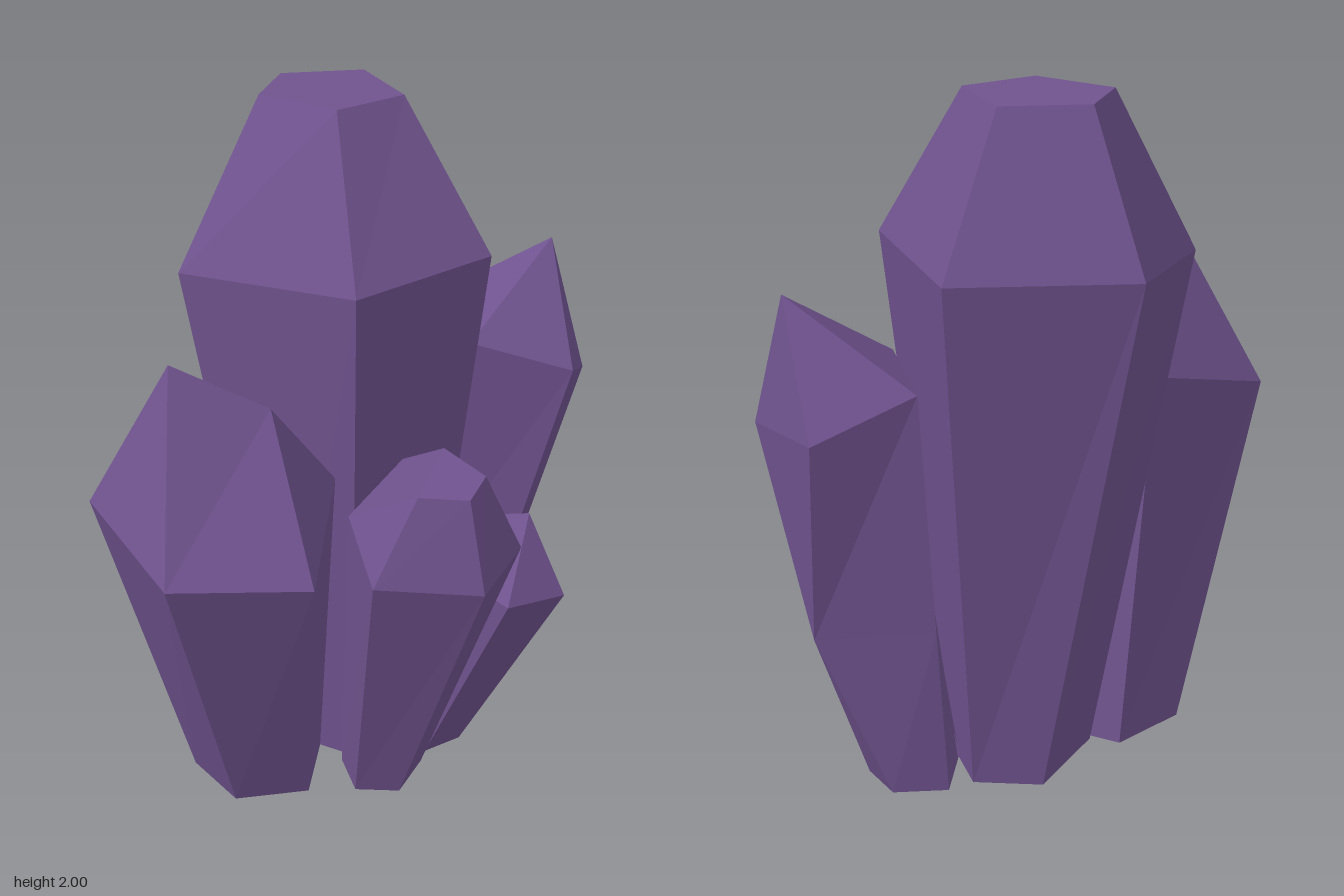
import * as THREE from 'three';

const purple = new THREE.MeshStandardMaterial({ color: 0x70538f, flatShading: true });
purple.name = 'purple crystal';

// Lofts a faceted crystal through five-point rings [x, y, z], listed from base to tip.
// Repeated points in a ring pinch its facets together.
function crystal(name, rings) {
  const positions = [];
  const tri = (...corners) => {
    const [a, b, c] = corners.map(p => new THREE.Vector3(...p));
    const area = b.clone().sub(a).cross(c.clone().sub(a)).length();
    if (area > 1e-6) for (const p of [a, b, c]) positions.push(p.x, p.y, p.z);
  };
  for (let k = 0; k + 1 < rings.length; k++) {
    const low = rings[k], high = rings[k + 1];
    for (let i = 0; i < 5; i++) {
      const j = (i + 1) % 5;
      tri(low[i], low[j], high[j]);
      tri(low[i], high[j], high[i]);
    }
  }
  // base and top caps
  const base = rings[0], top = rings[rings.length - 1];
  for (let i = 1; i < 4; i++) {
    tri(base[0], base[i + 1], base[i]);
    tri(top[0], top[i], top[i + 1]);
  }
  const geometry = new THREE.BufferGeometry();
  geometry.setAttribute('position', new THREE.Float32BufferAttribute(positions, 3));
  geometry.computeVertexNormals();
  const mesh = new THREE.Mesh(geometry, purple);
  mesh.name = name;
  return mesh;
}

// A level ring from [x, z] pairs.
const level = (y, points) => points.map(([x, z]) => [x, y, z]);

export function createModel() {
  const group = new THREE.Group();
  group.name = 'crystalCluster';

  // tall central crystal with a flat top
  group.add(crystal('mainCrystal', [
    level(0, [[-0.14, -0.17], [-0.04, 0.05], [0.22, 0.05], [0.28, -0.17], [0.12, -0.295]]),
    [[-0.35, 1.54, -0.33], [-0.13, 1.57, 0.185], [0.34, 1.585, 0.18], [0.5, 1.595, -0.4], [0.06, 1.59, -0.635]],
    level(2, [[-0.09, -0.3], [-0.015, -0.05], [0.22, -0.06], [0.295, -0.335], [0.085, -0.445]]),
  ]));

  // wide crystal ending in a sloping ridge
  const peak = [-0.585, 1.44, -0.015], ridge = [-0.365, 1.305, 0.125];
  group.add(crystal('rightCrystal', [
    level(0, [[-0.445, -0.21], [-0.445, 0.01], [-0.25, 0.11], [-0.09, -0.05], [-0.2, -0.24]]),
    [[-0.755, 1.03, -0.175], [-0.755, 0.92, 0.195], [-0.415, 0.89, 0.38], [-0.13, 1.01, 0.09], [-0.29, 1.16, -0.25]],
    [peak, peak, ridge, ridge, peak],
  ]));

  // pointed crystal whose outer facet pinches to a corner partway up
  const pinch = [0.69, 0.52, -0.01], leftTip = [0.72, 1.51, 0.02];
  const leftBase = level(0, [[0.25, -0.04], [0.35, 0.06], [0.5, 0.05], [0.5, -0.085], [0.36, -0.165]]);
  const leftShoulder = [[0.37, 1.28, 0.07], [0.63, 1.18, 0.23], [0.755, 1.13, 0.145], [0.745, 1.15, -0.145], [0.5, 1.28, -0.275]];
  const leftMiddle = leftBase.map((b, i) => i === 2 || i === 3 ? pinch
    : b.map((v, n) => THREE.MathUtils.lerp(v, leftShoulder[i][n], 0.43)));
  group.add(crystal('leftCrystal', [leftBase, leftMiddle, leftShoulder, Array(5).fill(leftTip)]));

  // short front crystal with a nearly flat top
  group.add(crystal('frontCrystal', [
    level(0, [[-0.135, 0.19], [-0.035, 0.275], [0.11, 0.2], [0.07, 0.05], [-0.08, 0.05]]),
    [[-0.285, 0.885, 0.46], [-0.045, 0.86, 0.63], [0.215, 0.85, 0.485], [0.135, 0.91, 0.17], [-0.145, 0.93, 0.17]],
    [[-0.155, 1.125, 0.48], [-0.045, 1.115, 0.56], [0.07, 1.12, 0.49], [0.05, 1.15, 0.34], [-0.085, 1.155, 0.33]],
  ]));

  // smallest crystal, with a point
  group.add(crystal('smallCrystal', [
    level(0, [[0.11, 0.03], [0.15, 0.17], [0.28, 0.18], [0.33, 0.04], [0.24, -0.04]]),
    [[0.145, 0.7, 0.22], [0.205, 0.64, 0.455], [0.41, 0.615, 0.47], [0.507, 0.655, 0.22], [0.355, 0.73, 0.09]],
    Array(5).fill([0.353, 0.86, 0.367]),
  ]));

  return group;
}
